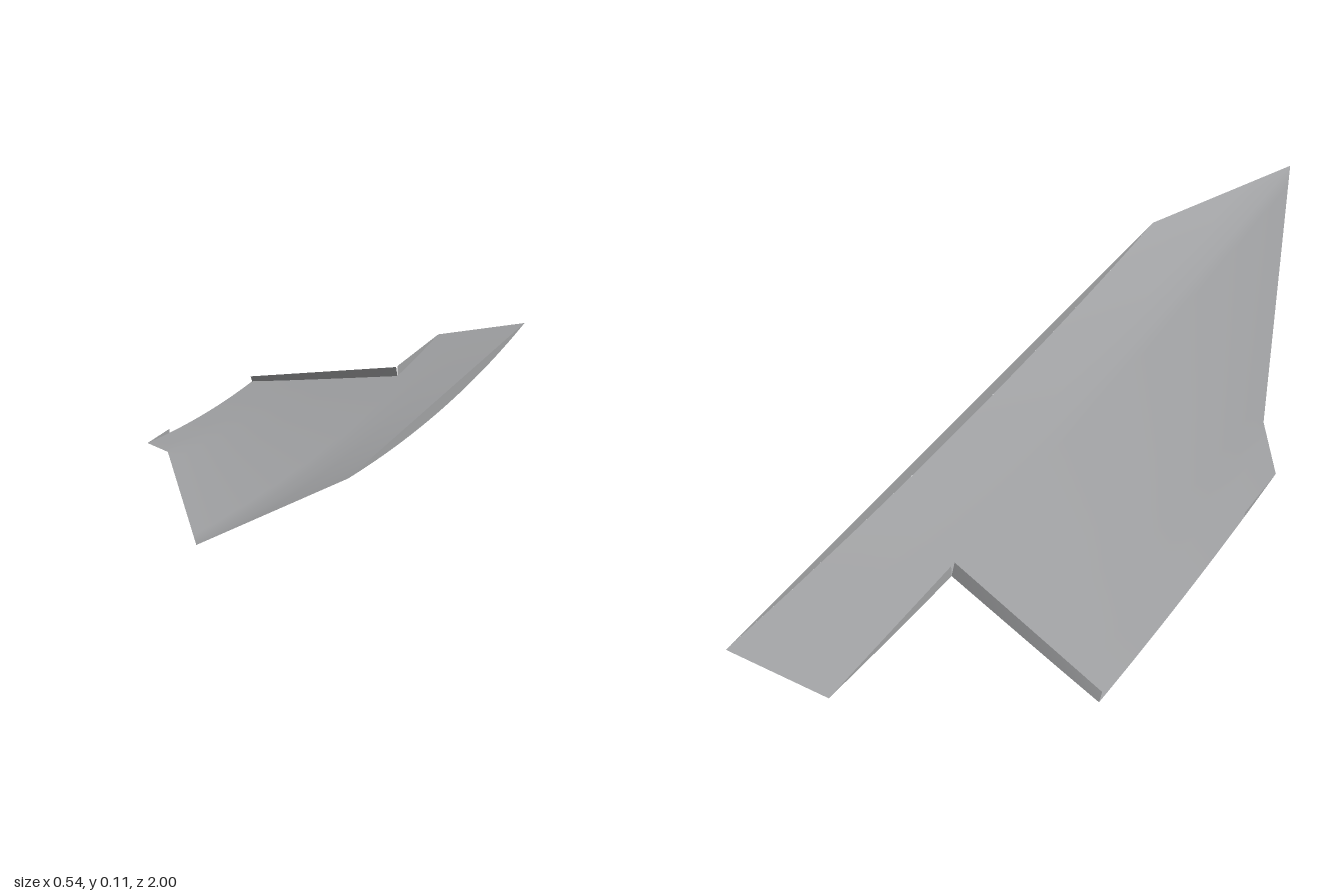
import * as THREE from 'three';
import { mergeVertices, mergeGeometries } from 'three/addons/utils/BufferGeometryUtils.js';

// Piecewise linear lookup through [x, value] pairs
function lerpTable(table, x) {
  for (let i = 1; i < table.length; i++) {
    const [x0, a] = table[i - 1];
    const [x1, b] = table[i];
    if (x <= x1 || i === table.length - 1) return a + ((b - a) * (x - x0)) / (x1 - x0);
  }
}

const LEFT = -0.272, NOTCH = 0.08, RIGHT = 0.272, TAIL = -1;
const FRONT = [[LEFT, -0.01], [-0.19, 0.12], [0.135, 1], [RIGHT, 0.6]];
const DEPTH = [[LEFT, 0.0165], [-0.1, 0.024], [0.135, 0.033], [RIGHT, 0.026]];
const CUT = [[LEFT, -0.737], [NOTCH, -0.598], [RIGHT, -0.598]];

const frontZ = (x) => lerpTable(FRONT, x);
const cutZ = (x) => lerpTable(CUT, x);
const rimY = (x) => 0.0655 + 0.176 * x;
// The sheet sags below the sloping rim plane, meeting it at the front and tail
function sheetY(x, z) {
  const f = frontZ(x);
  const t = Math.min(1, Math.max(0, (f - z) / (f - TAIL)));
  return rimY(x) - lerpTable(DEPTH, x) * 4 * t * (1 - t);
}

// Surface from columns of points; at(u, v) gives [x, y, z]
function patch(us, rows, at) {
  const pos = [], index = [];
  us.forEach((u, i) => {
    for (let j = 0; j <= rows; j++) {
      pos.push(...at(u, j / rows));
      if (i && j) {
        const d = i * (rows + 1) + j, c = d - 1, b = d - rows - 1, a = b - 1;
        index.push(a, d, b, a, c, d);
      }
    }
  });
  const g = new THREE.BufferGeometry();
  g.setAttribute('position', new THREE.Float32BufferAttribute(pos, 3));
  g.setIndex(index);
  return g;
}

// Evenly spaced values between a and b
const span = (a, b, n) => Array.from({ length: n + 1 }, (_, i) => a + ((b - a) * i) / n);

export function createModel() {
  const group = new THREE.Group();
  group.name = 'panel';
  const grey = new THREE.MeshStandardMaterial({ color: 0xa0a1a3, side: THREE.DoubleSide });
  grey.name = 'plain grey';

  const add = (name, geometry) => {
    geometry.computeVertexNormals();
    const mesh = new THREE.Mesh(geometry, grey);
    mesh.name = name;
    group.add(mesh);
  };

  // Curved sheet: main body plus the tail strip beside the notch
  const tailXs = [NOTCH, 0.1075, 0.135, 0.18, 0.226, RIGHT];
  const bodyXs = [...span(LEFT, -0.19, 3), ...span(-0.19, NOTCH, 8).slice(1), ...tailXs.slice(1)];
  const sheet = (xs, startZ, endZ, rows) => patch(xs, rows, (x, v) => {
    const z = startZ(x) + (endZ(x) - startZ(x)) * v;
    return [x, sheetY(x, z), z];
  });
  add('curvedSheet', mergeVertices(mergeGeometries([
    sheet(bodyXs, frontZ, cutZ, 24),
    sheet(tailXs, cutZ, () => TAIL, 8),
  ]), 1e-5));

  // Straight upright walls from the sheet up to the rim
  const sideWall = (x, z0, z1) => patch(span(z0, z1, 20), 1, (z, v) =>
    [x, v ? rimY(x) : sheetY(x, z), z]);
  add('rightWall', sideWall(RIGHT, 0.6, TAIL));
  add('notchSideWall', sideWall(NOTCH, -0.598, TAIL));
  add('leftFrontWall', sideWall(LEFT, -0.01, -0.15));

  // Wall along the slanted notch edge, leaning slightly forward
  add('notchWall', patch(span(LEFT, NOTCH, 10), 1, (x, v) => {
    const z = cutZ(x);
    return v ? [x, rimY(x), z + 0.012] : [x, sheetY(x, z), z];
  }));

  return group;
}
